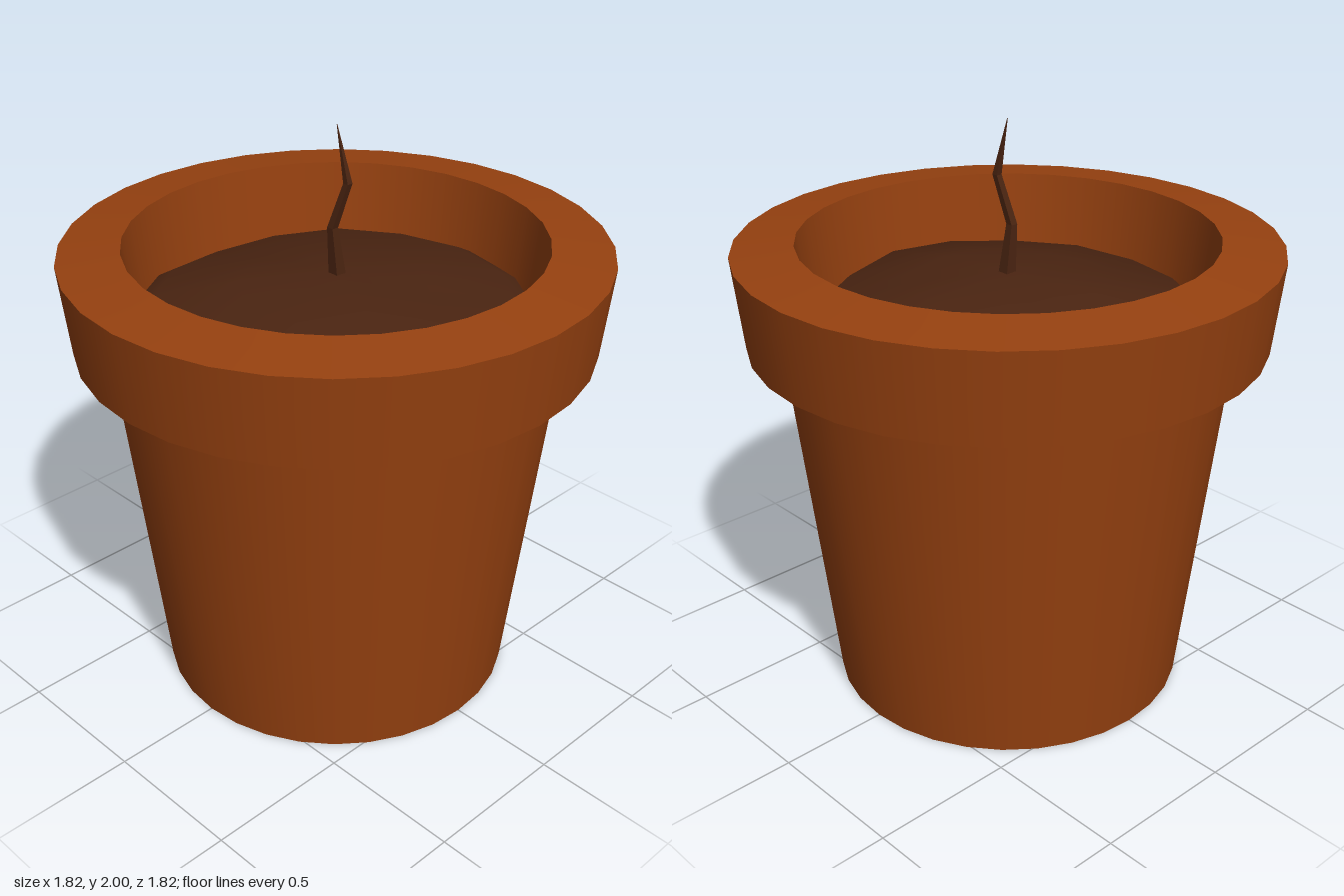
import * as THREE from 'three';
import { mergeVertices } from 'three/addons/utils/BufferGeometryUtils.js';

const terracotta = new THREE.MeshStandardMaterial({ color: 0x964110 });
terracotta.name = 'terracotta';
const soilBrown = new THREE.MeshStandardMaterial({ color: 0x4a2411 });
soilBrown.name = 'soil brown';

const profile = (points) => points.map(([r, y]) => new THREE.Vector2(r, y));

function addMesh(parent, name, geometry, material) {
  const mesh = new THREE.Mesh(geometry, material);
  mesh.name = name;
  parent.add(mesh);
}

// Mound of earth: a dome with an uneven, drooping edge
function soilGeometry() {
  const lathe = new THREE.LatheGeometry(
    profile([[0.69, 1.34], [0.61, 1.385], [0.32, 1.45], [0, 1.49]]), 16);
  lathe.deleteAttribute('normal');
  lathe.deleteAttribute('uv');
  const geometry = mergeVertices(lathe, 1e-4);
  const pos = geometry.attributes.position;
  for (let i = 0; i < pos.count; i++) {
    const x = pos.getX(i), z = pos.getZ(i);
    const r = Math.hypot(x, z), a = Math.atan2(z, x);
    const lump = 0.012 * Math.sin(3 * a + 0.6) + 0.008 * Math.cos(5 * a);
    // the edge drops more towards +x and +z
    const droop = r > 0.65 ? 0.05 * Math.max(0, Math.cos(a), Math.sin(a)) ** 4 : 0;
    pos.setY(i, pos.getY(i) + lump * r / 0.69 - droop);
  }
  geometry.computeVertexNormals();
  return geometry;
}

// Crooked tapering twig: a square tube bent through four stations
function twigGeometry() {
  // x, y, z, half-diagonal
  const stations = [
    [0.0, 1.46, -0.008, 0.03],
    [-0.008, 1.65, 0.008, 0.018],
    [0.043, 1.81, -0.01, 0.015],
    [0.004, 2.0, 0, 0.001],
  ];
  const tube = new THREE.CylinderGeometry(1, 1, 1, 4, 3, true, Math.PI / 4);
  const pos = tube.attributes.position;
  for (let i = 0; i < pos.count; i++) {
    const [x, y, z, r] = stations[Math.round((pos.getY(i) + 0.5) * 3)];
    pos.setXYZ(i, x + pos.getX(i) * r, y, z + pos.getZ(i) * r);
  }
  const geometry = tube.toNonIndexed();
  geometry.computeVertexNormals();
  return geometry;
}

export function createModel() {
  const model = new THREE.Group();
  model.name = 'flowerpot';

  // Pot bands, outside from the base up and over the rim to the inside;
  // separate bands keep the edges between them sharp
  const pot = new THREE.Group();
  pot.name = 'pot';
  model.add(pot);
  const bands = [
    ['potBase', [0, 0], [0.615, 0]],
    ['potBody', [0.615, 0], [0.76, 1.27]],
    ['rimUnderside', [0.76, 1.27], [0.875, 1.27]],
    ['rimSide', [0.875, 1.27], [0.91, 1.585]],
    ['rimTop', [0.91, 1.585], [0.7, 1.612]],
    ['innerWall', [0.7, 1.612], [0.66, 1.25]],
  ];
  for (const [name, from, to] of bands) {
    addMesh(pot, name, new THREE.LatheGeometry(profile([from, to]), 32), terracotta);
  }

  addMesh(model, 'soil', soilGeometry(), soilBrown);
  addMesh(model, 'twig', twigGeometry(), soilBrown);
  return model;
}
